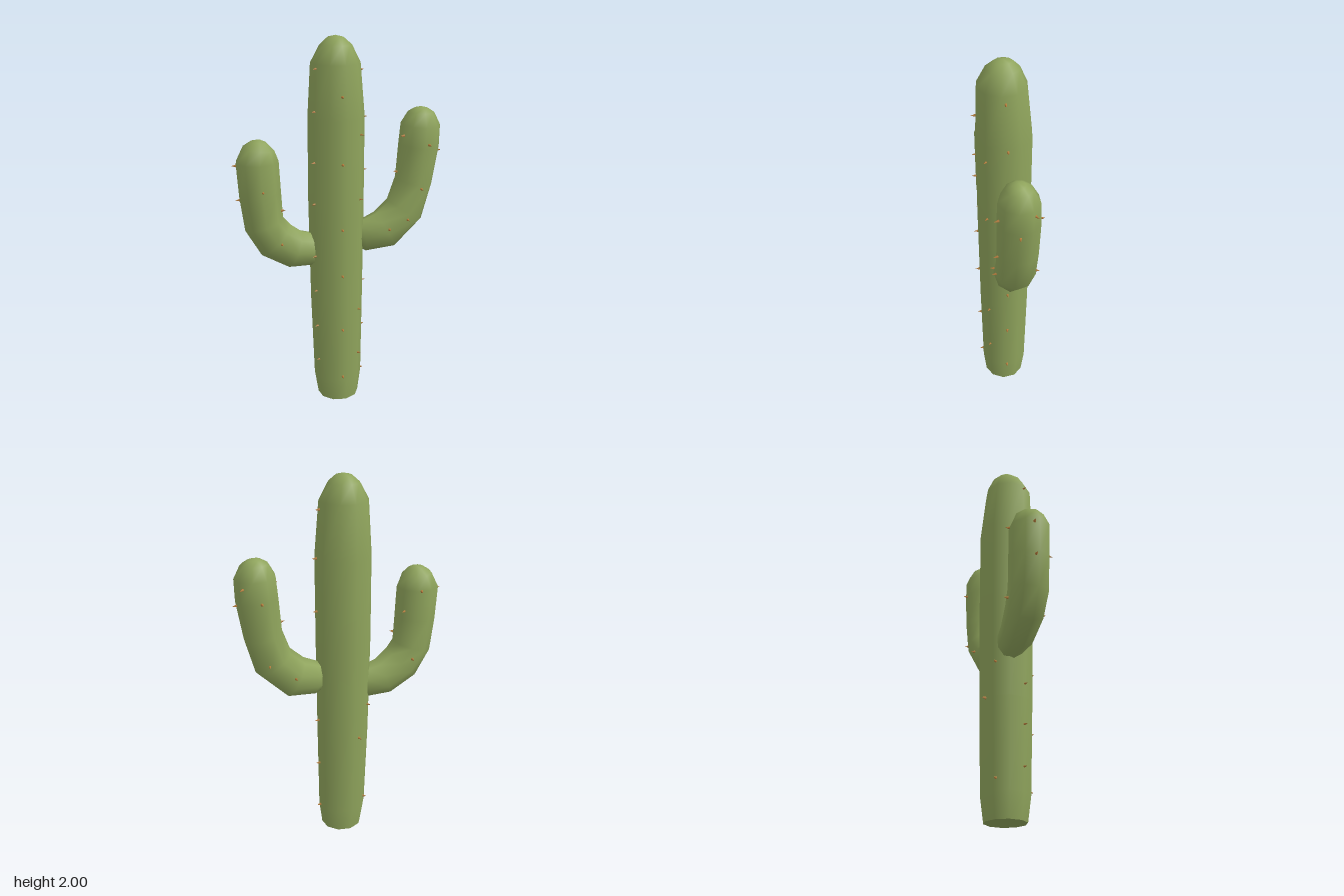
import * as THREE from 'three';

// Each ring: [x, y, z, in-plane radius, z radius]
const TRUNK = [
  [-0.01, 0, -0.003, 0.112, 0.108], [-0.012, 0.13, -0.004, 0.13, 0.125],
  [-0.017, 0.6, -0.005, 0.14, 0.136], [-0.019, 1.15, -0.005, 0.146, 0.143],
  [-0.018, 1.6, -0.004, 0.145, 0.145], [-0.024, 1.87, 0.006, 0.125, 0.126],
  [-0.022, 1.955, 0.003, 0.08, 0.085], [-0.022, 1.99, 0, 0.04, 0.045],
];
const RIGHT_ARM = [
  [-0.09, 0.885, -0.017, 0.06, 0.05], [-0.14, 0.885, -0.017, 0.09, 0.073],
  [-0.24, 0.897, -0.012, 0.105, 0.088], [-0.345, 0.965, -0.008, 0.112, 0.1],
  [-0.405, 1.06, -0.007, 0.105, 0.104], [-0.42, 1.22, -0.007, 0.109, 0.105],
  [-0.429, 1.39, -0.007, 0.11, 0.106], [-0.42, 1.455, -0.007, 0.082, 0.08],
  [-0.415, 1.49, -0.007, 0.04, 0.04],
];
const LEFT_ARM = [
  [0.09, 0.937, -0.006, 0.06, 0.04], [0.13, 0.94, -0.006, 0.09, 0.062],
  [0.25, 0.965, -0.006, 0.112, 0.095], [0.36, 1.07, -0.008, 0.109, 0.1],
  [0.407, 1.225, -0.008, 0.1, 0.102], [0.43, 1.42, -0.008, 0.109, 0.104],
  [0.436, 1.53, -0.008, 0.105, 0.1], [0.437, 1.595, -0.006, 0.07, 0.065],
  [0.438, 1.617, -0.006, 0.035, 0.03],
];

// Thorns as [degrees around the stem, heights...]; 0 = +x, 90 = front
const TRUNK_THORNS = [
  [90, 0.155, 0.45, 0.77, 1.03, 1.38, 1.72], [45, 0.28, 0.55, 1.18, 1.52],
  [0, 0.13, 0.41, 0.68, 1.31, 1.59, 1.83],
  [153, 0.25, 0.46, 0.67, 0.87, 1.16, 1.38, 1.64, 1.85],
  [220, 0.19, 0.78], [248, 0.6],
];
// Thorns as [ring position, degrees]
const RIGHT_ARM_THORNS = [
  [2.9, 85], [5.2, 88], [4.3, 20], [5.9, 185], [4.9, 180], [6, 280], [3.5, 270], [5.3, 325],
];
const LEFT_ARM_THORNS = [
  [2.1, 100], [2.8, 82], [3.9, 80], [5.2, 78], [5.5, 160], [4.2, 180],
  [4.9, 5], [5.0, 270], [3.2, 290], [2.2, 265], [5.7, 320],
];

// Point and outward direction on a stem at a ring position t and angle a
function surface(rings, t, a, upright) {
  const i = Math.min(Math.floor(t), rings.length - 2);
  const r = rings[i].map((v, k) => THREE.MathUtils.lerp(v, rings[i + 1][k], t - i));
  const tangentAt = (k) => {
    const p = rings[Math.max(k - 1, 0)], q = rings[Math.min(k + 1, rings.length - 1)];
    return new THREE.Vector2(q[0] - p[0], q[1] - p[1]).normalize();
  };
  const tan = upright ? new THREE.Vector2(0, 1)
    : tangentAt(i).lerp(tangentAt(i + 1), t - i).normalize();
  const c = Math.cos(a), s = Math.sin(a);
  const dir = new THREE.Vector3(tan.y * c, -tan.x * c, s);
  const point = new THREE.Vector3(
    r[0] + tan.y * c * r[3], r[1] - tan.x * c * r[3], r[2] + s * r[4]);
  return { point, dir };
}

// Smooth stem skinned over its rings, with a rounded tip and a flat base
function stemGeometry(rings, tip, sides, upright) {
  const pos = [], idx = [], n = rings.length;
  const addRing = (i) => {
    for (let j = 0; j < sides; j++) {
      pos.push(...surface(rings, i, ((j + 0.25) / sides) * Math.PI * 2, upright).point.toArray());
    }
  };
  for (let i = 0; i < n; i++) addRing(i);
  pos.push(...tip);
  const tipIndex = n * sides, base = tipIndex + 1;
  addRing(0);
  pos.push(...rings[0].slice(0, 3));
  for (let j = 0; j < sides; j++) {
    const k = (j + 1) % sides;
    for (let i = 0; i < n - 1; i++) {
      const a = i * sides + j, b = i * sides + k;
      idx.push(a, a + sides, b, b, a + sides, b + sides);
    }
    idx.push((n - 1) * sides + j, tipIndex, (n - 1) * sides + k);
    idx.push(base + sides, base + j, base + k);
  }
  const g = new THREE.BufferGeometry();
  g.setAttribute('position', new THREE.Float32BufferAttribute(pos, 3));
  g.setIndex(idx);
  g.computeVertexNormals();
  return g;
}

// Ring position on the trunk for a given height
function trunkPosition(y) {
  let i = 0;
  while (i < TRUNK.length - 2 && TRUNK[i + 1][1] < y) i++;
  return i + (y - TRUNK[i][1]) / (TRUNK[i + 1][1] - TRUNK[i][1]);
}

export function createModel() {
  const green = new THREE.MeshStandardMaterial({ color: 0x8fa45c });
  green.name = 'cactusGreen';
  const tan = new THREE.MeshStandardMaterial({ color: 0xb8803f });
  tan.name = 'thornTan';

  const model = new THREE.Group();
  model.name = 'cactus';
  const thornGeometry = new THREE.ConeGeometry(0.009, 0.028, 5);
  const up = new THREE.Vector3(0, 1, 0);

  function addStem(name, rings, tip, sides, upright, thorns) {
    const group = new THREE.Group();
    group.name = name;
    const stem = new THREE.Mesh(stemGeometry(rings, tip, sides, upright), green);
    stem.name = name + 'Stem';
    group.add(stem);
    for (const [t, degrees] of thorns) {
      const { point, dir } = surface(rings, t, THREE.MathUtils.degToRad(degrees), upright);
      const thorn = new THREE.Mesh(thornGeometry, tan);
      thorn.name = name + 'Thorn';
      thorn.position.copy(point).addScaledVector(dir, 0.005);
      thorn.quaternion.setFromUnitVectors(up, dir);
      group.add(thorn);
    }
    model.add(group);
  }

  const trunkThorns = TRUNK_THORNS.flatMap(([deg, ...heights]) =>
    heights.map((y) => [trunkPosition(y), deg]));
  addStem('trunk', TRUNK, [-0.022, 2, 0], 10, true, trunkThorns);
  addStem('rightArm', RIGHT_ARM, [-0.413, 1.503, -0.007], 9, false, RIGHT_ARM_THORNS);
  addStem('leftArm', LEFT_ARM, [0.438, 1.625, -0.006], 9, false, LEFT_ARM_THORNS);
  return model;
}
